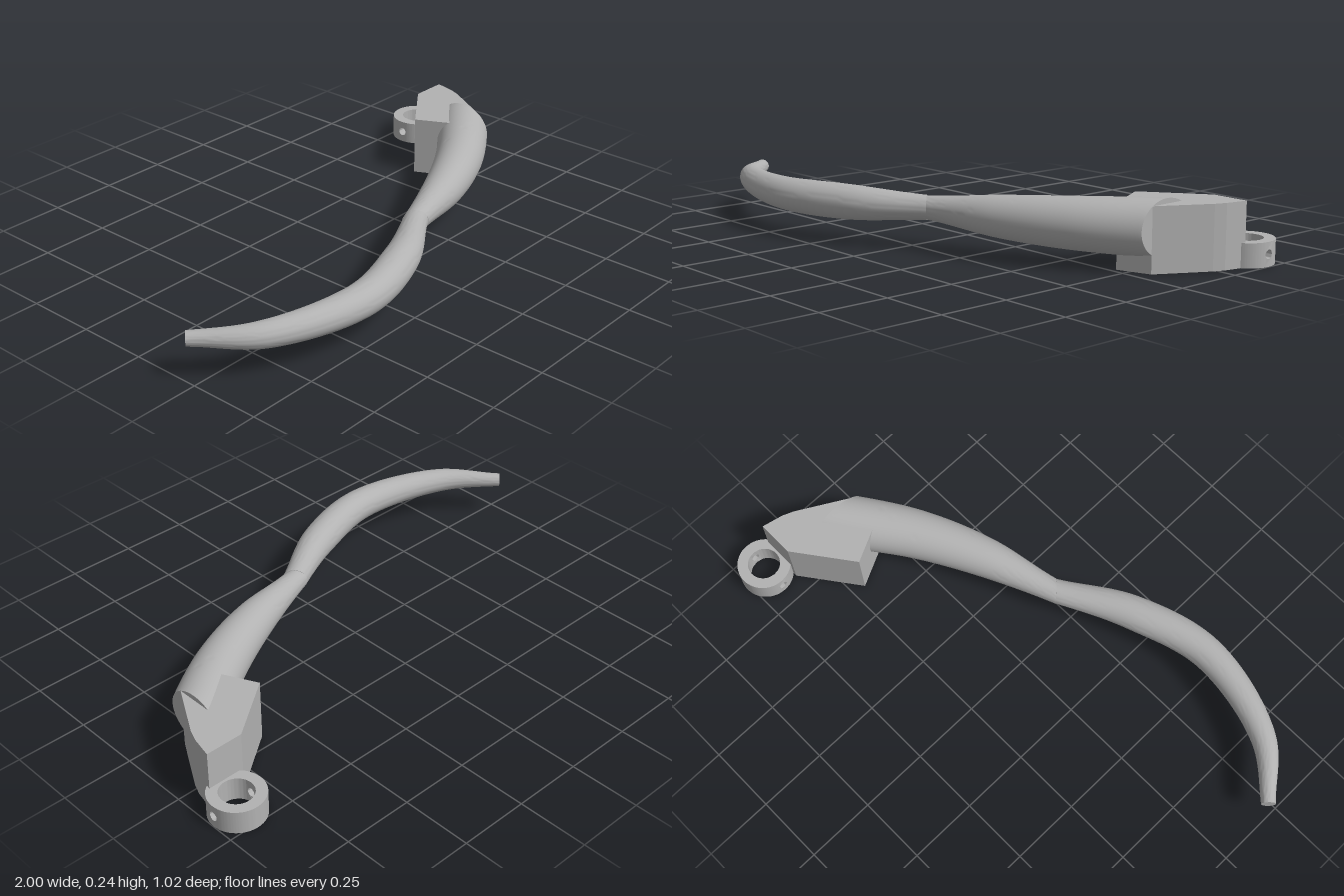
import * as THREE from 'three';
import { toCreasedNormals } from 'three/addons/utils/BufferGeometryUtils.js';

const AXIS_Y = 0.141; // height of the lever's centre line

// Round tapered bar along a curve in plan; each end is cut along a given plan direction.
// stations: [x, z, radius]
function taperedBar(stations, startCut, endCut, rows = 48, sides = 40) {
  const path = new THREE.CatmullRomCurve3(stations.map(([x, z]) => new THREE.Vector3(x, 0, z)));
  const radii = new THREE.SplineCurve(stations.map(([, , r], i) => new THREE.Vector2(i, r)));
  const slant = (cut, t) => {
    const n = new THREE.Vector2(-t.z, t.x);
    return (cut[0] * t.x + cut[1] * t.z) / (cut[0] * n.x + cut[1] * n.y);
  };
  const k0 = slant(startCut, path.getTangent(0));
  const k1 = slant(endCut, path.getTangent(1));
  const pos = [], index = [];
  for (let i = 0; i <= rows; i++) {
    const s = i / rows, c = path.getPoint(s), t = path.getTangent(s), r = radii.getPoint(s).y;
    const k = k0 * (1 - s) ** 2 + k1 * s ** 2;
    for (let j = 0; j < sides; j++) {
      const a = (j / sides) * Math.PI * 2, u = Math.cos(a) * r;
      pos.push(c.x + u * (-t.z + t.x * k), AXIS_Y + Math.sin(a) * r, c.z + u * (t.x + t.z * k));
      if (i < rows) {
        const p = i * sides + j, q = i * sides + (j + 1) % sides;
        index.push(p, p + sides, q, q, p + sides, q + sides);
      }
    }
  }
  // flat end caps
  const last = rows * sides;
  for (let j = 1; j < sides - 1; j++) {
    index.push(0, j, j + 1, last, last + j + 1, last + j);
  }
  const g = new THREE.BufferGeometry();
  g.setAttribute('position', new THREE.Float32BufferAttribute(pos, 3));
  g.setIndex(index);
  return toCreasedNormals(g, 0.6);
}

export function createModel() {
  const metal = new THREE.MeshStandardMaterial({ color: 0xb2b2b2 });
  const model = new THREE.Group();
  model.name = 'lever';
  const add = (parent, name, geometry) => {
    const mesh = new THREE.Mesh(geometry, metal);
    mesh.name = name;
    parent.add(mesh);
    return mesh;
  };

  // Curved finger part and the handle root, meeting at a slanted waist
  const waistCut = [1, 1];
  add(model, 'leverTip', taperedBar([
    [-0.983, 0.203, 0.025], [-0.81, 0.365, 0.044], [-0.47, 0.452, 0.058],
    [-0.18, 0.377, 0.061], [0.07, 0.24, 0.043],
  ], [1, -1], waistCut));
  add(model, 'leverRoot', taperedBar([
    [0.07, 0.24, 0.041], [0.335, 0.155, 0.071], [0.575, 0.04, 0.088], [0.82, -0.125, 0.097],
  ], waistCut, [0, 1]));

  // Mounting block, drawn in plan as [x, z]
  const plan = [[0.613, -0.2], [0.703, -0.02], [0.82, -0.057], [0.922, -0.235],
    [0.938, -0.275], [0.955, -0.352], [0.82, -0.352]];
  const block = new THREE.ExtrudeGeometry(
    new THREE.Shape(plan.map(([x, z]) => new THREE.Vector2(x, -z))),
    { depth: 0.22, bevelEnabled: false });
  add(model, 'mountingBlock', block.rotateX(-Math.PI / 2));

  // Pivot ring with a small cross hole through both side walls
  const R = 0.096, r = 0.058, h = 0.083, w = 0.02;
  const ring = new THREE.Group();
  ring.name = 'pivotRing';
  ring.position.set(0.903, 0, -0.419);
  model.add(ring);

  const aR = Math.asin(w / R), ar = Math.asin(w / r);
  const half = new THREE.Shape();
  half.absarc(0, 0, R, aR, Math.PI - aR, false);
  half.absarc(0, 0, r, Math.PI - ar, ar, true);
  const halfRing = toCreasedNormals(new THREE.ExtrudeGeometry(half,
    { depth: h, bevelEnabled: false, curveSegments: 32 }).rotateX(-Math.PI / 2), 0.6);

  // Drilled wall: a flat plate pushed onto the inner and outer radius
  const plate = new THREE.Shape();
  plate.moveTo(-w, 0);
  plate.lineTo(0, 0);
  plate.lineTo(w, 0);
  plate.lineTo(w, h);
  plate.lineTo(0, h);
  plate.lineTo(-w, h);
  plate.closePath();
  plate.holes.push(new THREE.Path().absarc(0, h / 2, 0.016, 0, Math.PI * 2, true));
  let wall = new THREE.ExtrudeGeometry(plate, { depth: 1, bevelEnabled: false, curveSegments: 16 });
  const p = wall.attributes.position;
  for (let i = 0; i < p.count; i++) {
    const s = p.getX(i), radius = p.getZ(i) > 0.5 ? R : r;
    p.setXYZ(i, Math.sqrt(radius * radius - s * s), p.getY(i), -s);
  }
  wall = toCreasedNormals(wall, 0.6);

  for (const turn of [0, Math.PI]) {
    add(ring, 'ringHalf', halfRing).rotation.y = turn;
    add(ring, 'drilledWall', wall).rotation.y = turn;
  }
  return model;
}
